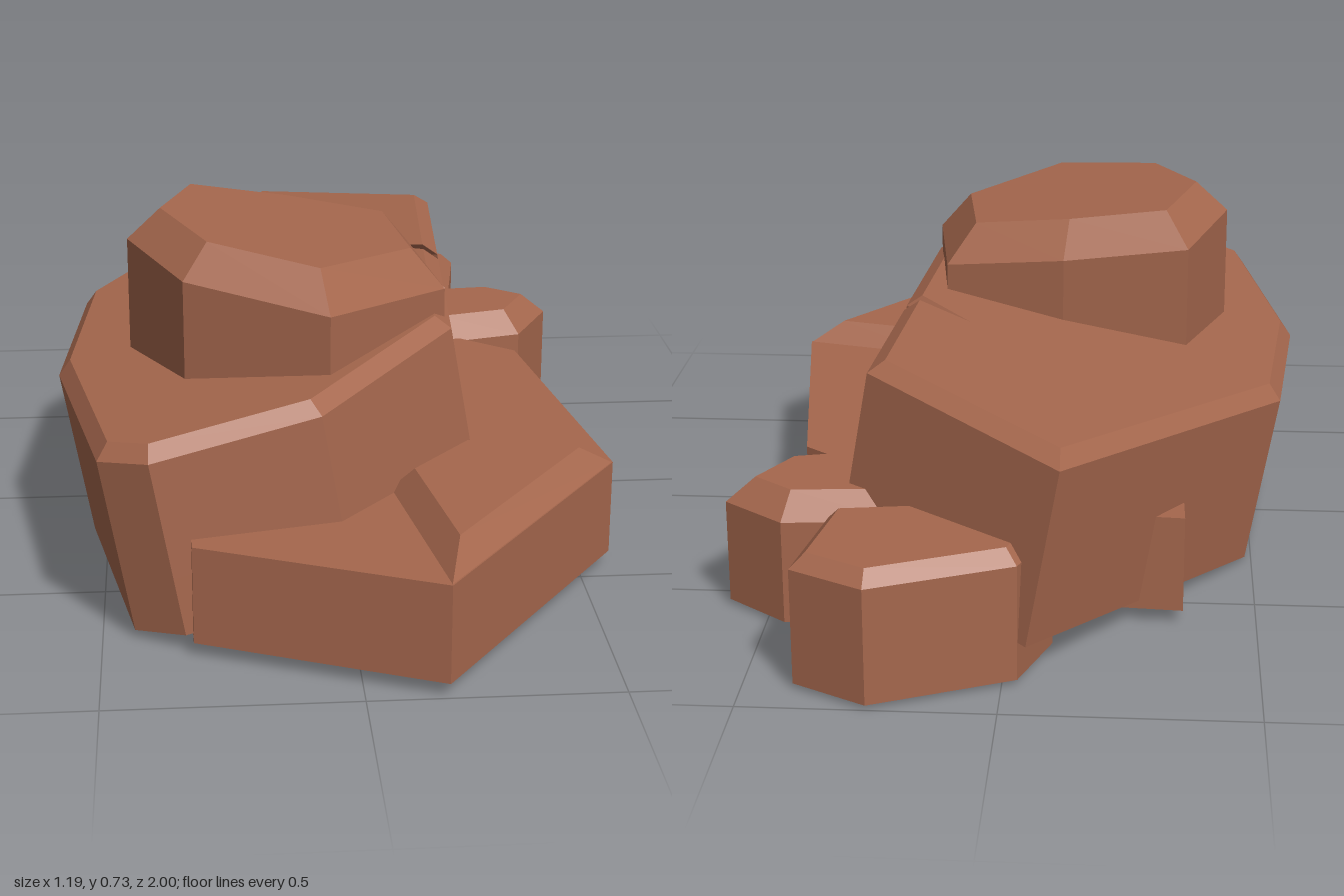
import * as THREE from 'three';

const material = new THREE.MeshStandardMaterial({ color: 0xa5674d, flatShading: true });

// Moves every corner of an outline inward by a distance (mitred)
function insetOutline(points, distance) {
  const n = points.length;
  const normal = (a, b) => new THREE.Vector2(a.y - b.y, b.x - a.x).normalize();
  return points.map((p, i) => {
    const n1 = normal(points[(i + n - 1) % n], p);
    const n2 = normal(p, points[(i + 1) % n]);
    const scale = distance / (1 + n1.dot(n2));
    return p.clone().add(n1.add(n2).multiplyScalar(scale));
  });
}

// Faceted rock: outline of [x, z, crackX, crackZ], levels of [y, inset, crack amount, slope along x]
function rock(name, outline, levels) {
  let corners = outline.map(([x, z, cx = 0, cz = 0]) => ({ p: new THREE.Vector2(x, z), c: new THREE.Vector2(cx, cz) }));
  if (THREE.ShapeUtils.area(corners.map((k) => k.p)) < 0) corners = corners.reverse();
  const base = corners.map((k) => k.p);
  const flats = levels.map(([, inset, crack = 0]) =>
    insetOutline(base, inset).map((p, i) => p.addScaledVector(corners[i].c, crack)));
  const rings = flats.map((ring, l) => {
    const [y, , , slope = 0] = levels[l];
    return ring.map((p) => [p.x, y + slope * p.x, p.y]);
  });
  const positions = [];
  const tri = (a, b, c) => positions.push(...a, ...b, ...c);

  // Walls and bevels
  for (let l = 0; l < rings.length - 1; l++) {
    const low = rings[l], up = rings[l + 1];
    for (let i = 0; i < low.length; i++) {
      const j = (i + 1) % low.length;
      tri(low[i], up[i], up[j]);
      tri(low[i], up[j], low[j]);
    }
  }
  // Underside and top
  const top = rings.length - 1;
  for (const [a, b, c] of THREE.ShapeUtils.triangulateShape(flats[0], [])) tri(rings[0][a], rings[0][b], rings[0][c]);
  for (const [a, b, c] of THREE.ShapeUtils.triangulateShape(flats[top], [])) tri(rings[top][a], rings[top][c], rings[top][b]);

  const geometry = new THREE.BufferGeometry();
  geometry.setAttribute('position', new THREE.Float32BufferAttribute(positions, 3));
  geometry.computeVertexNormals();
  const mesh = new THREE.Mesh(geometry, material);
  mesh.name = name;
  return mesh;
}

export function createModel() {
  const group = new THREE.Group();
  group.name = 'rockFormation';

  // Large tilted slab with a crack in its right edge
  const mainSlab = rock('mainSlab', [
    [-0.425, 0.71], [-0.323, 0.775], [0.02, 0.7], [0.32, 0.35],
    [0.349, -0.115], [0.35, -0.132, -0.12, -0.1], [0.351, -0.15],
    [0.377, -0.57], [-0.03, -0.89], [-0.476, -0.28], [-0.522, 0.18],
  ], [[0.097, 0], [0.22, 0], [0.467, 0, 1], [0.497, 0.03, 1]]);
  mainSlab.rotation.z = THREE.MathUtils.degToRad(10);
  group.add(mainSlab);

  // Boulder on top, its upper faces sloping down to one side
  group.add(rock('topBoulder', [
    [-0.35, -0.12], [-0.08, -0.105], [0.18, -0.04], [0.225, 0.3],
    [-0.035, 0.565], [-0.325, 0.43], [-0.44, 0.17],
  ], [[0.36, 0], [0.615, 0, 0, -0.127], [0.69, 0.067, 0, -0.127]]));

  // Low ledge beneath, with a raised bevelled block at the front corner
  group.add(rock('lowLedge', [
    [-0.32, 0.8], [0.16, 1], [0.57, 0.44], [0.47, -0.26], [0.08, -0.57], [-0.35, -0.6],
  ], [[0.035, 0], [0.24, 0]]));
  group.add(rock('ledgeBlock', [
    [0.16, 0.995], [0.567, 0.44], [0.25, 0.36], [0.09, 0.54],
  ], [[0.2, 0], [0.24, 0], [0.287, 0.045]]));

  // Two small stones at the back
  group.add(rock('backStone', [
    [0.25, -1], [0.4, -0.92], [0.36, -0.67], [0.16, -0.64], [-0.09, -0.72], [-0.03, -0.88],
  ], [[0.015, 0], [0.255, 0], [0.285, 0.028]]));
  group.add(rock('sideStone', [
    [0.46, -0.66], [0.59, -0.56], [0.5, -0.39], [0.3, -0.34], [0.1, -0.48], [0.22, -0.64],
  ], [[0.015, 0], [0.235, 0], [0.287, 0.048]]));

  return group;
}
